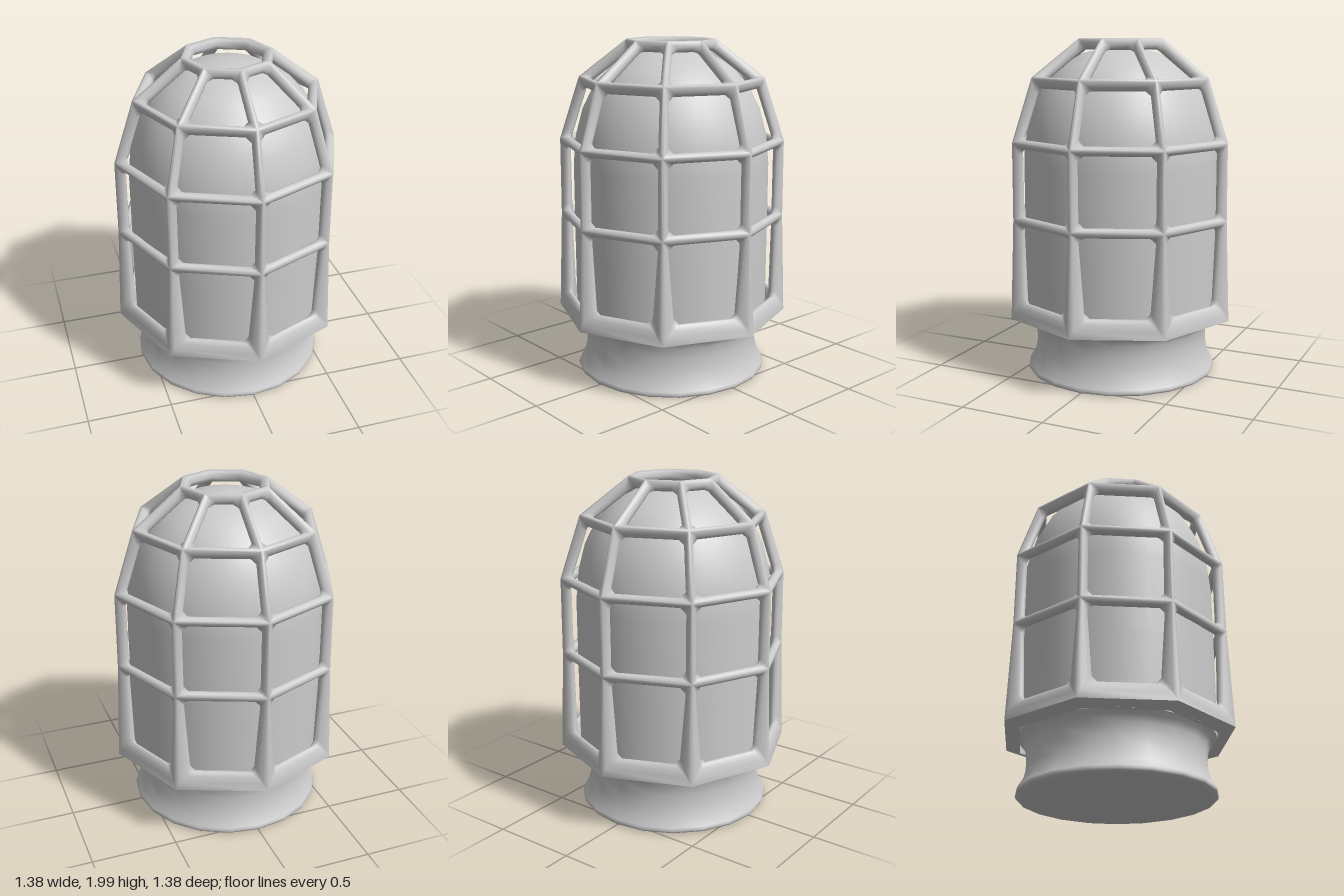
import * as THREE from 'three';
import { mergeGeometries, mergeVertices } from 'three/addons/utils/BufferGeometryUtils.js';

const SIDES = 8;
const ROUND = 8; // steps around half a bar

// Cage rings, top to bottom: outer and inner crest as [radius, height],
// half-height of the ring bar (v) and half-width of the upright there (h)
const LEVELS = [
  { out: [0.26, 2.0], in: [0.225, 1.94], v: 0.03, h: 0.026 },
  { out: [0.545, 1.778], in: [0.495, 1.73], v: 0.028, h: 0.026 },
  { out: [0.665, 1.41], in: [0.605, 1.4], v: 0.027, h: 0.028 },
  { out: [0.667, 0.96], in: [0.605, 0.955], v: 0.028, h: 0.03 },
  { out: [0.69, 0.37], in: [0.6, 0.345], v: 0.12, h: 0.062 },
];

const lathe = (pts, n) => new THREE.LatheGeometry(pts.map(([r, y]) => new THREE.Vector2(r, y)), n);

const polar = ([r, y], side) => {
  const t = (side / SIDES) * Math.PI * 2;
  return new THREE.Vector3(r * Math.sin(t), y, r * Math.cos(t));
};

// One window of the cage: loops run from the outer crest, through the
// chamfered opening, to the inner crest
function windowFrame(top, bottom, side) {
  const corners = [[top, side], [top, side + 1], [bottom, side + 1], [bottom, side]];
  const pos = [], index = [];
  for (let k = 0; k <= ROUND; k++) {
    const a = (k / ROUND) * Math.PI;
    const s = Math.sin(a), ch = 0.032 * s * s;
    const p = corners.map(([l, i]) => polar(l.in, i).lerp(polar(l.out, i), (1 + Math.cos(a)) / 2));
    corners.forEach(([l], i) => {
      const e1 = p[(i + 1) % 4].clone().sub(p[i]).normalize();
      const e2 = p[(i + 3) % 4].clone().sub(p[i]).normalize();
      const a1 = (i % 2 ? l.v : l.h) * s, a2 = (i % 2 ? l.h : l.v) * s;
      for (const [c1, c2] of [[0, ch], [ch, 0]]) {
        pos.push(...p[i].clone().addScaledVector(e1, a1 + c1).addScaledVector(e2, a2 + c2).toArray());
      }
    });
  }
  for (let k = 0; k < ROUND; k++) {
    for (let j = 0; j < 8; j++) {
      const A = k * 8 + j, B = k * 8 + ((j + 1) % 8), C = B + 8, D = A + 8;
      index.push(A, D, C, A, C, B);
    }
  }
  const g = new THREE.BufferGeometry();
  g.setAttribute('position', new THREE.Float32BufferAttribute(pos, 3));
  g.setIndex(index);
  return g;
}

export function createModel() {
  const group = new THREE.Group();
  const material = new THREE.MeshStandardMaterial({ color: 0xcccccc });
  const add = (name, geometry) => {
    const mesh = new THREE.Mesh(geometry, material);
    mesh.name = name;
    group.add(mesh);
    return mesh;
  };

  // Guard cage with the rounded lip of its top opening
  const lip = lathe([[0.26, 2.0], [0.228, 1.993], [0.208, 1.968], [0.225, 1.94]], SIDES);
  lip.deleteAttribute('uv');
  lip.deleteAttribute('normal');
  const parts = [lip];
  for (let row = 0; row < LEVELS.length - 1; row++) {
    for (let side = 0; side < SIDES; side++) parts.push(windowFrame(LEVELS[row], LEVELS[row + 1], side));
  }
  const cage = mergeVertices(mergeGeometries(parts), 1e-3);
  cage.computeVertexNormals();
  add('guardCage', cage);

  // Flat underside of the cage skirt
  const under = lathe([LEVELS[4].in, LEVELS[4].out], SIDES).toNonIndexed();
  under.computeVertexNormals();
  add('cageUnderside', under);

  // Domed lamp cover inside the cage
  add('lampCover', lathe([
    [0.575, 0.35], [0.577, 0.8], [0.577, 1.28], [0.56, 1.45], [0.52, 1.6], [0.45, 1.74],
    [0.35, 1.845], [0.22, 1.915], [0.1, 1.94], [0, 1.945],
  ], 40));

  // Waisted base with a rolled foot
  add('base', lathe([
    [0.54, 0.01], [0.565, 0.017], [0.572, 0.03], [0.565, 0.047], [0.538, 0.09], [0.52, 0.16],
    [0.515, 0.23], [0.522, 0.29], [0.54, 0.33], [0.578, 0.365],
  ], 20));
  const foot = add('baseUnderside', lathe([[0, 0.01], [0.54, 0.01]], 20));
  foot.geometry.computeVertexNormals();

  return group;
}
